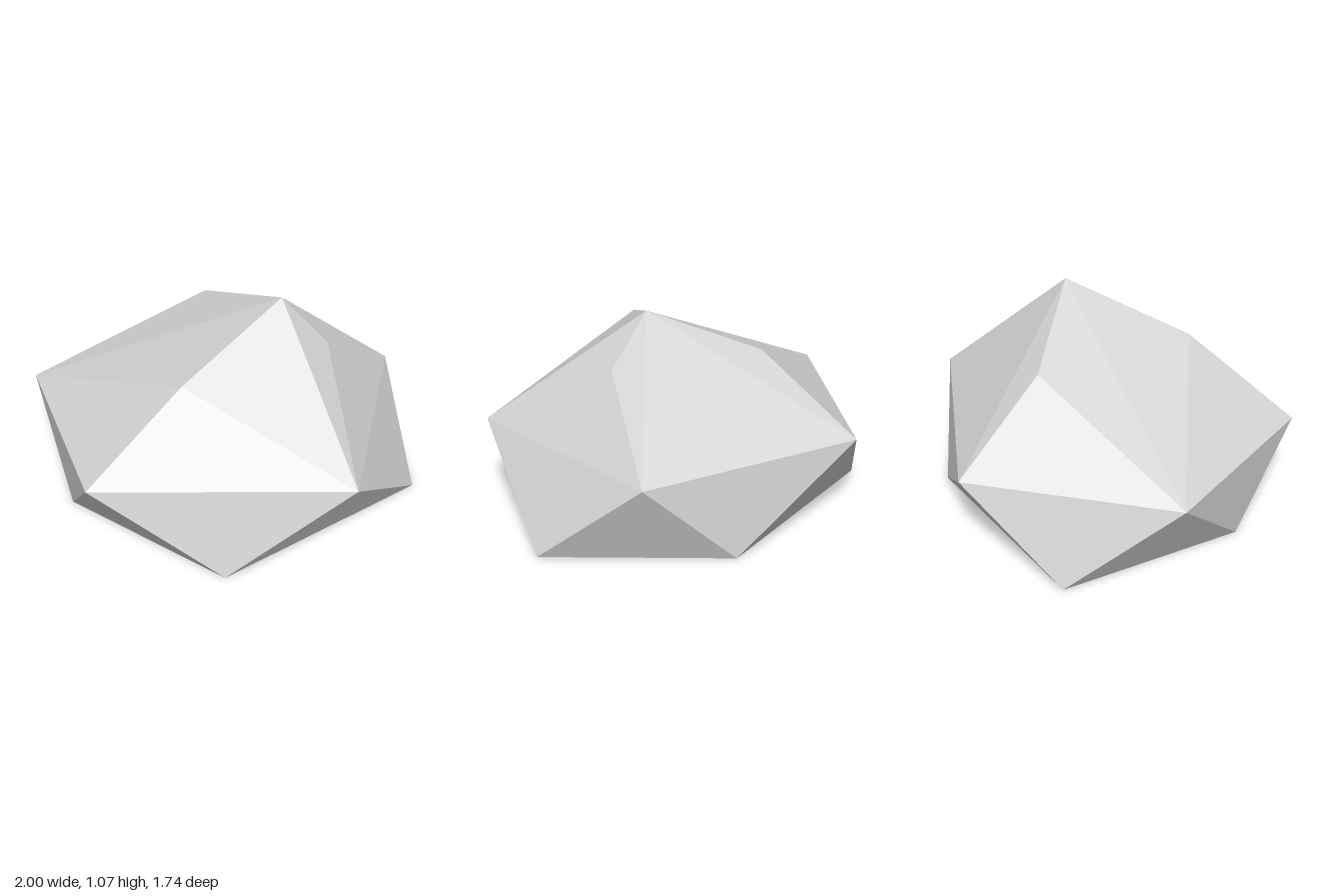
import * as THREE from 'three';

const ring = (y, points) => points.map(([x, z]) => new THREE.Vector3(x, y, z));

export function createModel() {
  const stone = new THREE.MeshStandardMaterial({ color: 0xd4d4d4, flatShading: true });
  stone.name = 'pale grey stone';

  // Two staggered five-sided rings, a peak and three facet bumps
  const base = ring(0, [[-0.67, 0.47], [0.235, 0.805], [1, -0.12], [0.29, -0.76], [-0.805, -0.49]]);
  const waist = ring(0.45, [[-1, 0.05], [-0.435, 0.87], [0.815, 0.525], [0.74, -0.6], [-0.4, -0.87]]);
  const peak = new THREE.Vector3(0.28, 1.07, -0.09);
  const frontBump = new THREE.Vector3(-0.08, 0.835, 0.44);
  const sideBump = new THREE.Vector3(0.515, 0.83, -0.11);
  const backBump = new THREE.Vector3(-0.2, 0.835, -0.4);

  const corners = [];
  // Joins every edge of an outline to one centre point
  const fan = (centre, outline) => outline.forEach((p, i) =>
    corners.push(p, outline[(i + 1) % outline.length], centre));

  // Zigzag band of side facets
  for (let i = 0; i < 5; i++) {
    const j = (i + 1) % 5;
    corners.push(waist[i], base[i], waist[j]);
    corners.push(base[i], base[j], waist[j]);
  }

  // Crown facets
  const [a, b, c, d, e] = waist;
  fan(frontBump, [a, b, c, peak]);
  fan(sideBump, [c, d, peak]);
  fan(backBump, [e, a, peak]);
  corners.push(d, e, peak);

  // Flat underside
  for (let i = 1; i < 4; i++) corners.push(base[0], base[i + 1], base[i]);

  const geometry = new THREE.BufferGeometry().setFromPoints(corners);
  geometry.computeVertexNormals();

  const rock = new THREE.Mesh(geometry, stone);
  rock.name = 'rock';
  const group = new THREE.Group();
  group.name = 'boulder';
  group.add(rock);
  return group;
}
